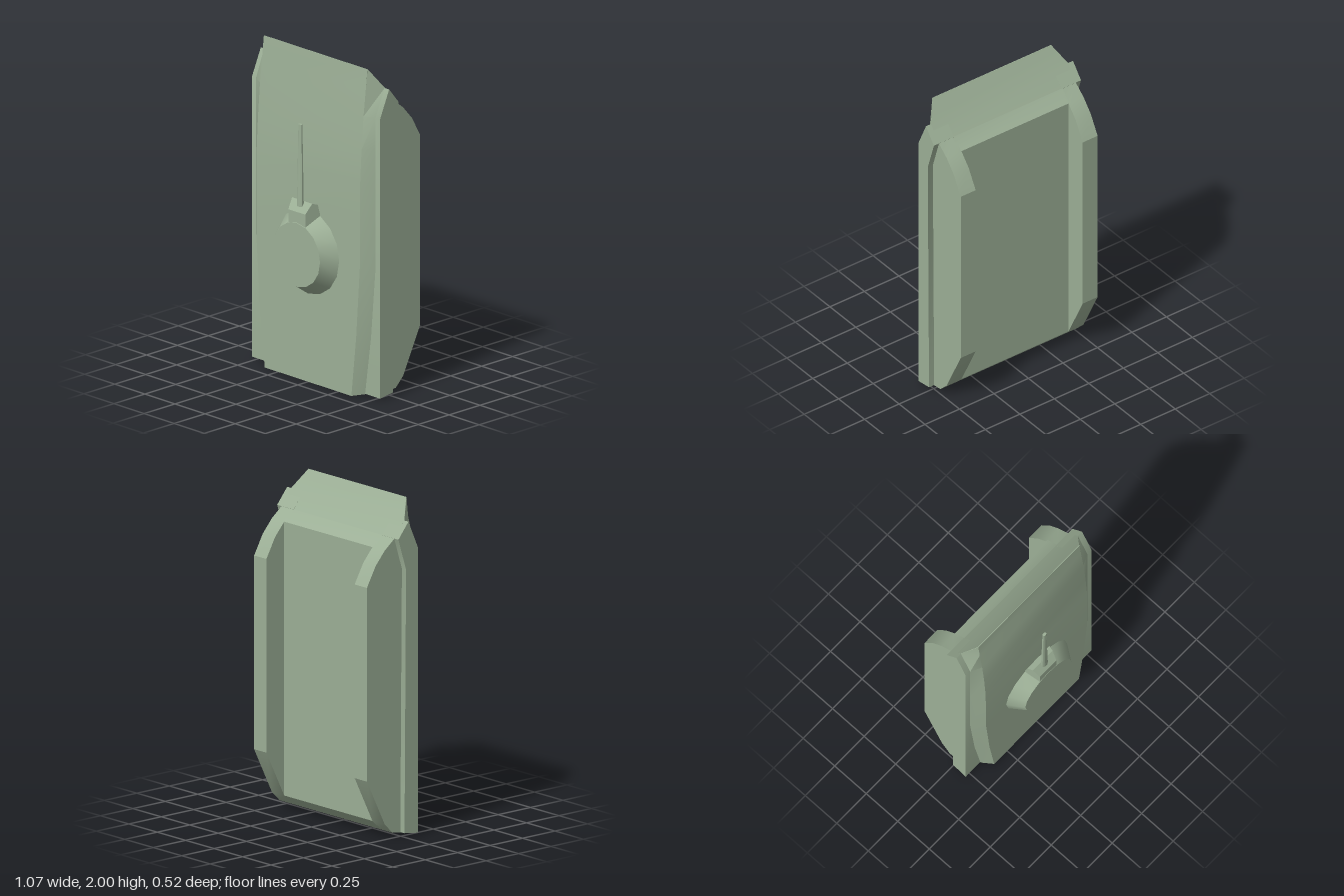
import * as THREE from 'three';
import { toCreasedNormals } from 'three/addons/utils/BufferGeometryUtils.js';

const material = new THREE.MeshStandardMaterial({ color: 0x9caf96 });

function part(name, geometry, crease = 0.45) {
  const mesh = new THREE.Mesh(toCreasedNormals(geometry, crease), material);
  mesh.name = name;
  return mesh;
}

// Extrude a side profile of [z, y] points across x0..x1.
function slab(profile, x0, x1) {
  const shape = new THREE.Shape(profile.map(([z, y]) => new THREE.Vector2(z, y)));
  const g = new THREE.ExtrudeGeometry(shape, { depth: x1 - x0, bevelEnabled: false });
  return g.rotateY(-Math.PI / 2).translate(x1, 0, 0);
}

// Join rings of equal point count, listed from bottom to top, and cap the ends.
function loft(rings) {
  const n = rings[0].length, index = [];
  for (let r = 0; r < rings.length - 1; r++) {
    for (let i = 0; i < n; i++) {
      const a = r * n + i, b = r * n + (i + 1) % n;
      index.push(a, b, b + n, a, b + n, a + n);
    }
  }
  const last = (rings.length - 1) * n;
  for (let i = 1; i < n - 1; i++) {
    index.push(0, i + 1, i, last, last + i, last + i + 1);
  }
  const g = new THREE.BufferGeometry();
  g.setAttribute('position', new THREE.Float32BufferAttribute(rings.flat(2), 3));
  g.setIndex(index);
  return g;
}

export function createModel() {
  const model = new THREE.Group();
  model.name = 'tank';

  // Upper hull: [y, deck half width, deck z, edge half width, edge z]
  const sections = [
    [0, 0.36, 0.167, 0.41, 0.105],
    [0.37, 0.40, 0.167, 0.46, 0.105],
    [0.8, 0.43, 0.167, 0.497, 0.105],
    [1.3, 0.43, 0.165, 0.497, 0.105],
    [1.52, 0.43, 0.153, 0.497, 0.105],
    [1.72, 0.43, 0.137, 0.497, 0.105],
    [1.885, 0.43, 0.118, 0.497, 0.03],
    [2, 0.43, 0.106, 0.43, 0.104],
  ];
  model.add(part('upperHull', loft(sections.map(([y, xd, zd, xe, ze]) => {
    const ye = y === 0 ? 0.008 : y;
    return [[-xe, ye, ze], [-xd, y, zd], [xd, y, zd], [xe, ye, ze]].reverse();
  }).map((ring) => ring.reverse()))));

  // Lower hull between the tracks
  model.add(part('lowerHull', slab([
    [0.104, 2], [0.03, 1.885], [-0.045, 1.79], [-0.12, 1.73],
    [-0.12, 0.09], [-0.06, 0.03], [0.104, 0.008],
  ], -0.4, 0.4)));

  // Nose plate spanning the full width above the tracks
  model.add(part('nosePlate', loft([
    [[-0.497, 1.79, -0.045], [-0.497, 1.79, 0.03], [0.497, 1.79, 0.03], [0.497, 1.79, -0.045]],
    [[-0.497, 1.885, 0.029], [-0.497, 1.885, 0.03], [0.497, 1.885, 0.03], [0.497, 1.885, 0.029]],
    [[-0.43, 2, 0.103], [-0.43, 2, 0.104], [0.43, 2, 0.104], [0.43, 2, 0.103]],
  ])));

  // Tracks and fenders on both sides
  const trackProfile = [
    [0.03, 1.885], [-0.045, 1.79], [-0.12, 1.73], [-0.19, 1.65], [-0.257, 1.53],
    [-0.257, 0.37], [-0.12, 0.09], [-0.06, 0.03], [0.103, 0.01], [0.103, 1.72],
  ];
  const fenderProfile = [
    [0.103, 1.72], [0.03, 1.885], [-0.047, 1.79], [0.012, 1.6], [0, 0.024], [0.103, 0.01],
  ];
  for (const [side, s] of [['left', 1], ['right', -1]]) {
    const span = (a, b) => (s > 0 ? [a, b] : [-b, -a]);
    model.add(part(side + 'Track', slab(trackProfile, ...span(0.388, 0.496))));
    model.add(part(side + 'Fender', slab(fenderProfile, ...span(0.39, 0.533))));
  }

  // Turret: a low frustum on the deck
  const turret = new THREE.CylinderGeometry(0.195, 0.263, 0.1, 16);
  turret.rotateX(Math.PI / 2).translate(0, 0.798, 0.21);
  model.add(part('turret', turret, 0.5));

  // Gun mantlet, narrowing away from the deck
  const mantlet = slab([
    [0.258, 0.9], [0.258, 1.06], [0.215, 1.12], [0.18, 1.108], [0.162, 1.03], [0.162, 0.9],
  ].reverse(), -1, 1);
  const p = mantlet.attributes.position;
  for (let i = 0; i < p.count; i++) {
    p.setX(i, p.getX(i) * (0.1 - (p.getZ(i) - 0.162) * 0.31));
  }
  model.add(part('gunMantlet', mantlet));

  // Tapered gun barrel
  const barrel = new THREE.CylinderGeometry(0.014, 0.024, 0.5, 8);
  barrel.rotateY(Math.PI / 8).scale(1, 1, 0.7).translate(0, 1.34, 0.229);
  model.add(part('gunBarrel', barrel, 0.9));

  return model;
}
